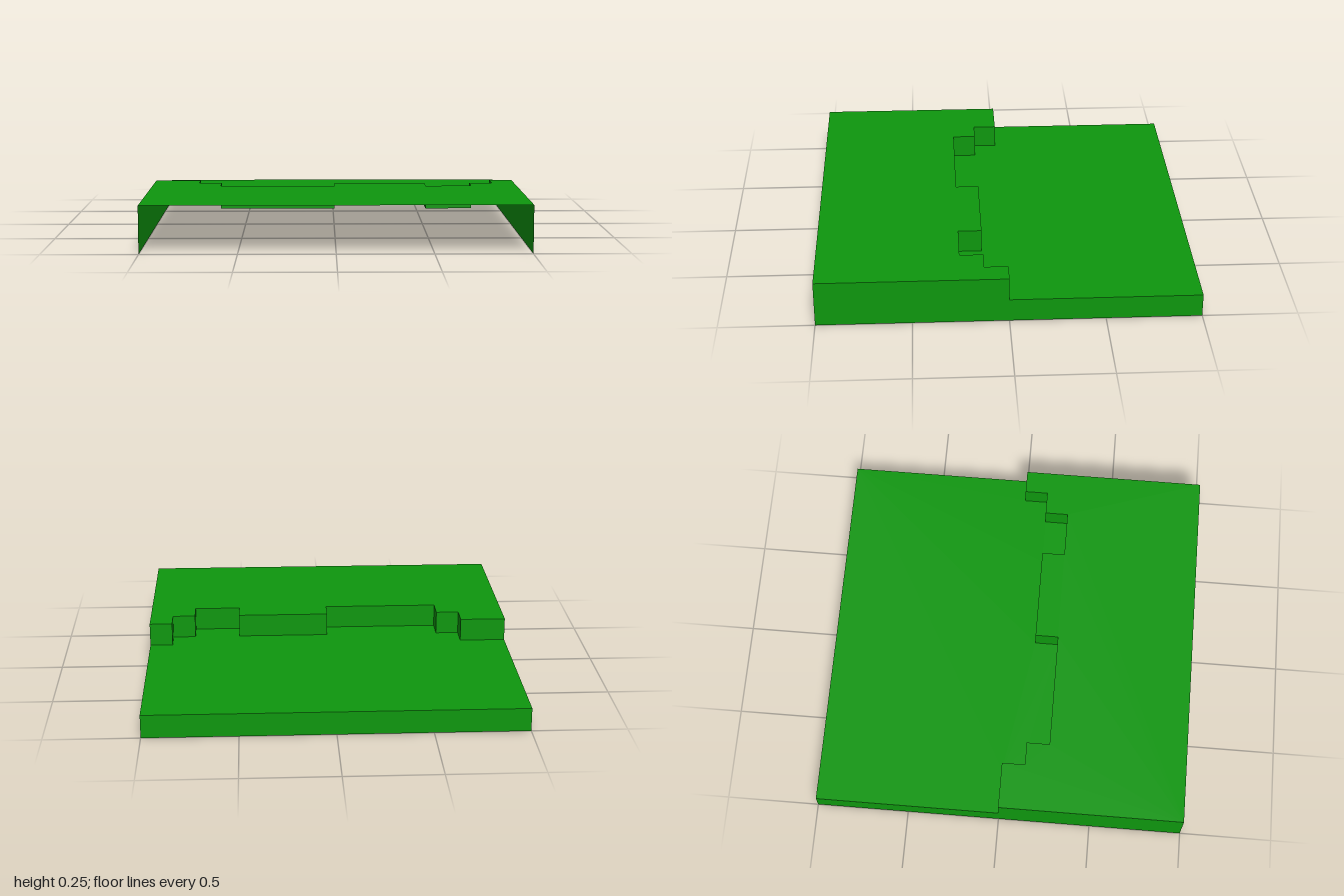
import * as THREE from 'three';

export function createModel() {
  const group = new THREE.Group();
  const grass = new THREE.MeshStandardMaterial({ color: 0x0e970e, side: THREE.DoubleSide });
  grass.name = 'grass green';
  const LOW = 0.125, HIGH = 0.25;

  // Stepped ledge line between the two levels, as [x, z]
  const ledge = [
    [-1, 0], [-0.75, 0], [-0.75, 0.125], [-0.625, 0.125], [-0.625, 0.25], [0, 0.25], [0, 0.125],
    [0.5, 0.125], [0.5, 0.25], [0.75, 0.25], [0.75, 0.125], [0.875, 0.125], [0.875, 0], [1, 0],
  ];

  const add = (name, geometry, parent = group) => {
    const mesh = new THREE.Mesh(geometry, grass);
    mesh.name = name;
    parent.add(mesh);
    return mesh;
  };
  const shape = (points) => new THREE.ShapeGeometry(new THREE.Shape(points.map(([a, b]) => new THREE.Vector2(a, b))));

  // Flat ground sheet facing up
  const ground = (name, points, y) =>
    add(name, shape(points.map(([x, z]) => [x, -z])).rotateX(-Math.PI / 2).translate(0, y, 0));

  // Upright panel from a to b, with its front to the right of that direction
  const panel = (name, [ax, az], [bx, bz], y0, y1, parent) => {
    const mesh = add(name, new THREE.PlaneGeometry(Math.hypot(bx - ax, bz - az), y1 - y0), parent);
    mesh.position.set((ax + bx) / 2, (y0 + y1) / 2, (az + bz) / 2);
    mesh.rotation.y = -Math.atan2(bz - az, bx - ax);
  };

  // Two ground levels meeting along the ledge
  ground('lowerGround', [...ledge, [1, -1], [-1, -1]], LOW);
  ground('upperGround', [...ledge, [1, 1], [-1, 1]], HIGH);

  // Risers of the ledge, facing the back
  const risers = new THREE.Group();
  risers.name = 'ledgeRisers';
  group.add(risers);
  for (let i = 1; i < ledge.length; i++) panel('riser', ledge[i], ledge[i - 1], LOW, HIGH, risers);

  // Outer walls; the front and the bottom stay open
  panel('backWall', [1, -1], [-1, -1], 0, LOW);
  const side = [[1, 0], [-1, 0], [-1, HIGH], [0, HIGH], [0, LOW], [1, LOW]];
  add('leftWall', shape(side).rotateY(Math.PI / 2).translate(1, 0, 0));
  add('rightWall', shape(side.map(([a, b]) => [-a, b])).rotateY(-Math.PI / 2).translate(-1, 0, 0));

  return group;
}
